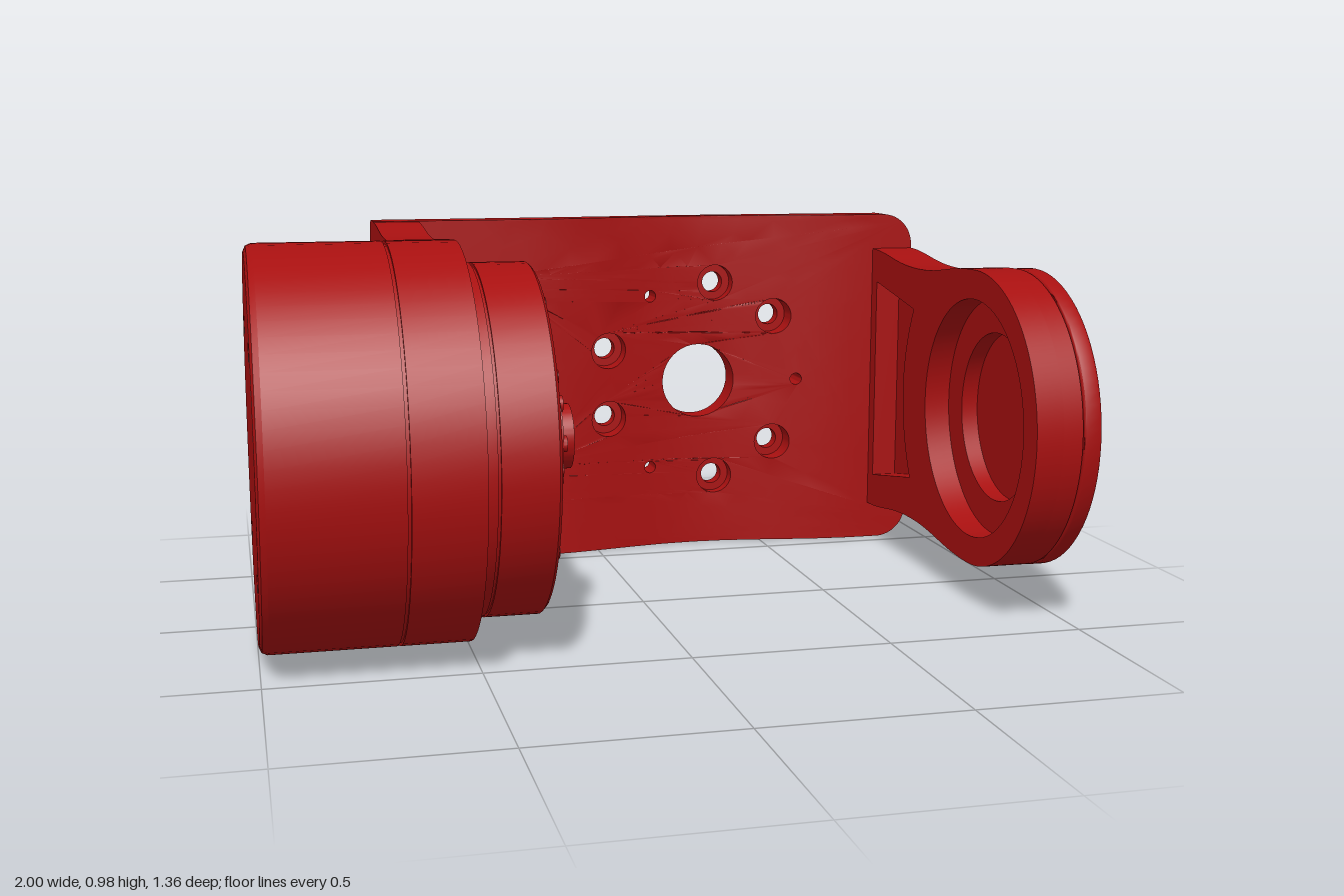
import * as THREE from 'three';
import { toCreasedNormals } from 'three/addons/utils/BufferGeometryUtils.js';

const CY = 0.49, CZ = 0.19; // shared axis of motor and cover
const material = new THREE.MeshStandardMaterial({ color: 0xa81010 });

function add(parent, name, geometry, crease = 0.6) {
  const mesh = new THREE.Mesh(toCreasedNormals(geometry, crease), material);
  mesh.name = name;
  parent.add(mesh);
  return mesh;
}

const circle = (u, v, r, Type = THREE.Path) => {
  const p = new Type();
  p.absarc(u, v, r, 0, Math.PI * 2, false);
  return p;
};

const around = (n, r, fn, start = 0) => {
  for (let i = 0; i < n; i++) {
    const a = start + (i / n) * Math.PI * 2;
    fn(Math.cos(a) * r, Math.sin(a) * r, i);
  }
};

// Extrude a shape drawn in (-z, y) from x0 to x1, with a small chamfer
function slabX(shape, x0, x1, b = 0) {
  const g = new THREE.ExtrudeGeometry(shape, {
    depth: x1 - x0 - 2 * b, curveSegments: 40, bevelEnabled: b > 0,
    bevelSize: b, bevelThickness: b, bevelOffset: -b, bevelSegments: 3,
  });
  return g.translate(0, 0, x0 + b).rotateY(Math.PI / 2);
}

function rodX(r, x0, x1, y, z, sides = 20) {
  return new THREE.CylinderGeometry(r, r, x1 - x0, sides)
    .rotateZ(-Math.PI / 2).translate((x0 + x1) / 2, y, z);
}

// Side arm outline: round end, waist, full-height root
function armShape(R, waist) {
  const s = new THREE.Shape();
  s.moveTo(0.57, CY - R);
  s.lineTo(0.57, CY + R);
  s.bezierCurveTo(0.42, CY + R, 0.38, CY + waist, 0.2, CY + waist);
  s.bezierCurveTo(0.04, CY + waist, -0.02, CY + R, -CZ, CY + R);
  s.absarc(-CZ, CY, R, Math.PI / 2, Math.PI * 1.5, false);
  s.bezierCurveTo(-0.02, CY - R, 0.04, CY - waist, 0.2, CY - waist);
  s.bezierCurveTo(0.38, CY - waist, 0.42, CY - R, 0.57, CY - R);
  return s;
}

// Weight-saving pocket between the round end and the root
function pocket() {
  const p = new THREE.Path();
  p.moveTo(0.22, CY + 0.24);
  p.lineTo(0.51, CY + 0.29);
  p.lineTo(0.51, CY - 0.29);
  p.lineTo(0.22, CY - 0.24);
  p.quadraticCurveTo(0.35, CY, 0.22, CY + 0.24);
  return p;
}

function roundedSlot(x0, x1, y0, y1) {
  const r = (x1 - x0) / 2, p = new THREE.Path();
  p.absarc(x0 + r, y1 - r, r, 0, Math.PI, false);
  p.absarc(x0 + r, y0 + r, r, Math.PI, Math.PI * 2, false);
  p.closePath();
  return p;
}

// Split long triangle edges so that a flat cap can be bent
function subdivide(geometry, max) {
  const p = geometry.attributes.position, todo = [], out = [];
  const at = (i) => new THREE.Vector3().fromBufferAttribute(p, i);
  for (let i = 0; i < p.count; i += 3) todo.push([at(i), at(i + 1), at(i + 2)]);
  while (todo.length) {
    const t = todo.pop();
    const len = t.map((v, i) => v.distanceTo(t[(i + 1) % 3]));
    const k = len.indexOf(Math.max(...len));
    if (len[k] <= max) { t.forEach((v) => out.push(v)); continue; }
    const a = t[k], b = t[(k + 1) % 3], c = t[(k + 2) % 3];
    const m = a.clone().add(b).multiplyScalar(0.5);
    todo.push([a, m, c], [m, b, c]);
  }
  return new THREE.BufferGeometry().setFromPoints(out);
}

function backPlate() {
  const x0 = -0.635, x1 = 0.95, H = 0.4875, r = 0.09, depth = 0.13;
  const s = new THREE.Shape();
  s.moveTo(x0, 0);
  s.lineTo(x1 - r, 0);
  s.absarc(x1 - r, r, r, -Math.PI / 2, 0, false);
  s.absarc(x1 - r, 2 * H - r, r, 0, Math.PI / 2, false);
  s.lineTo(x0, 2 * H);
  s.holes.push(roundedSlot(-0.405, -0.2, 0.165, 0.815), circle(0.31, CY, 0.108));
  around(9, 0.293, (u, v, i) =>
    s.holes.push(circle(0.31 + u, CY + v, i % 3 ? 0.052 : 0.017)));
  const g = subdivide(new THREE.ExtrudeGeometry(s, {
    depth, steps: 13, bevelEnabled: false, curveSegments: 20,
  }), 0.12);

  // Round the rear edges and hollow the front face gently
  const p = g.attributes.position, cx = (x0 + x1) / 2, W = (x1 - x0) / 2, R = 0.05;
  const weight = (n) => THREE.MathUtils.clamp((Math.abs(n) - 0.71) / 0.29, 0, 1);
  for (let i = 0; i < p.count; i++) {
    const x = p.getX(i), y = p.getY(i), t = p.getZ(i);
    const q = Math.max(0, R - t), d = R - Math.sqrt(Math.max(0, R * R - q * q));
    const nx = (x - cx) / W, ny = (y - H) / H;
    const bump = 0.5 + 0.5 * Math.cos(THREE.MathUtils.clamp((x - 0.3) / 0.5, -1, 1) * Math.PI);
    p.setXYZ(i, nx > 0 ? x - d * weight(nx) : x,
      y - Math.sign(ny) * d * weight(ny),
      -0.68 + t * (1 - 0.44 * bump));
  }
  return g;
}

export function createModel() {
  const model = new THREE.Group();
  model.name = 'motorBracket';

  // Back plate with counterbored bolt circle
  add(model, 'backPlate', backPlate());
  around(9, 0.293, (u, v, i) => {
    if (i % 3 === 0) return;
    const ring = circle(0.31 + u, CY + v, 0.053, THREE.Shape);
    ring.holes.push(circle(0.31 + u, CY + v, 0.03));
    add(model, 'counterboreSeat', new THREE.ExtrudeGeometry(ring, {
      depth: 0.04, bevelEnabled: false, curveSegments: 20,
    }).translate(0, 0, -0.678));
  });

  // Assembly screws in both ends of the back plate
  for (const y of [0.2, 0.39, 0.585, 0.78]) {
    for (const [a, b] of [[0.94, 0.954], [-0.639, -0.625]]) {
      const ring = circle(0.61, y, 0.05, THREE.Shape);
      ring.holes.push(circle(0.61, y, 0.03));
      add(model, 'edgeScrew', slabX(ring, a, b));
    }
  }

  // Right-hand-end arm: recessed inside, closed by a round cover
  const inner = armShape(0.385, 0.355);
  inner.holes.push(circle(-CZ, CY, 0.31), pocket());
  add(model, 'coverArmInner', slabX(inner, 0.83, 0.9));
  const outer = armShape(0.385, 0.355);
  outer.holes.push(circle(-CZ, CY, 0.22), circle(0.2, 0.715, 0.033), circle(0.2, 0.265, 0.033));
  add(model, 'coverArmOuter', slabX(outer, 0.9, 0.95));

  const cover = circle(-CZ, CY, 0.386, THREE.Shape);
  around(6, 0.347, (u, v) => {
    cover.holes.push(circle(u - CZ, CY + v, 0.032));
    add(model, 'coverScrew', rodX(0.022, 0.945, 0.985, CY + v, CZ - u));
  });
  add(model, 'cover', slabX(cover, 0.955, 1, 0.006));
  add(model, 'coverSpacer', rodX(0.375, 0.945, 0.958, CY, CZ, 64));

  // Motor-side arm
  const motorInner = armShape(0.483, 0.46);
  motorInner.holes.push(pocket());
  add(model, 'motorArmInner', slabX(motorInner, -0.565, -0.51));
  const motorOuter = armShape(0.483, 0.46);
  motorOuter.holes.push(roundedSlot(0.34, 0.48, CY - 0.17, CY + 0.17));
  add(model, 'motorArmOuter', slabX(motorOuter, -0.635, -0.565));

  // Motor housing, output ring and stepped hub, turned as one profile (radius, x)
  const profile = [
    [0, -0.975], [0.465, -0.975], [0.465, -1], [0.479, -0.994], [0.485, -0.98],
    [0.485, -0.68], [0.478, -0.68], [0.478, -0.672], [0.485, -0.672],
    [0.485, -0.505], [0.43, -0.505], [0.43, -0.475], [0.424, -0.475], [0.424, -0.468],
    [0.43, -0.468], [0.43, -0.337], [0.423, -0.33], [0.375, -0.33], [0.365, -0.345],
    [0.34, -0.345], [0.34, -0.4], [0.3, -0.4], [0.3, -0.43], [0.23, -0.43],
    [0.23, -0.325], [0.17, -0.325], [0.17, -0.35], [0.145, -0.35], [0.145, -0.305],
    [0.125, -0.305], [0.125, -0.27], [0.08, -0.27], [0.08, -0.235], [0, -0.235],
  ].map(([r, x]) => new THREE.Vector2(r, x));
  add(model, 'motor', new THREE.LatheGeometry(profile, 72)
    .rotateZ(-Math.PI / 2).translate(0, CY, CZ), 0.4);

  // Motor end cap and its recessed screws
  const cap = circle(-CZ, CY, 0.466, THREE.Shape);
  around(4, 0.37, (u, v) => cap.holes.push(circle(u - CZ, CY + v, 0.032)), Math.PI / 4);
  add(model, 'motorEndCap', slabX(cap, -1, -0.97));

  // Screws on the output ring and hub
  around(12, 0.4, (u, v) =>
    add(model, 'ringScrew', rodX(0.018, -0.34, -0.326, CY + v, CZ - u, 14)));
  around(6, 0.103, (u, v) =>
    add(model, 'hubScrew', rodX(0.02, -0.28, -0.26, CY + v, CZ - u, 14)));

  return model;
}
